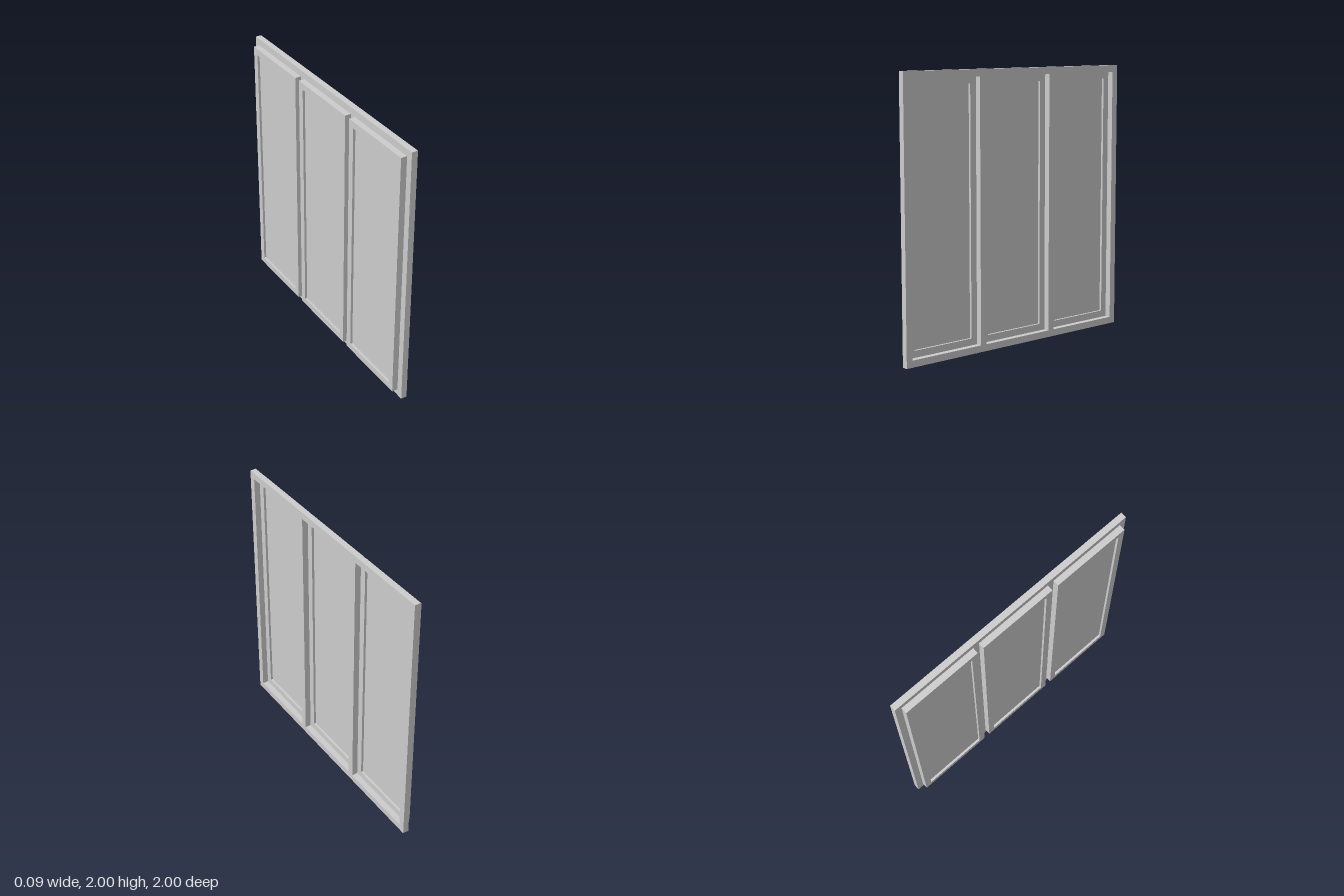
import * as THREE from 'three';

const DEPTH = 0.045; // thickness of the frame and of each sash
const RAIL = 0.05; // visible width of every rail
const material = new THREE.MeshStandardMaterial({ color: 0xcccccc, flatShading: true });

// Rectangle outline in the window plane: u runs along z, v is up
function trace(path, u0, u1, v0, v1) {
  path.moveTo(u0, v0);
  path.lineTo(u1, v0);
  path.lineTo(u1, v1);
  path.lineTo(u0, v1);
  path.closePath();
  return path;
}

// Rectangular plate with rectangular holes, turned so its thickness runs along +x from x0
function plate(name, rect, holes, x0, depth) {
  const shape = trace(new THREE.Shape(), ...rect);
  for (const h of holes) shape.holes.push(trace(new THREE.Path(), ...h));
  const geometry = new THREE.ExtrudeGeometry(shape, { depth, bevelEnabled: false });
  geometry.rotateY(Math.PI / 2);
  const mesh = new THREE.Mesh(geometry, material);
  mesh.name = name;
  mesh.position.x = x0;
  return mesh;
}

const inset = ([u0, u1, v0, v1], d) => [u0 + d, u1 - d, v0 + d, v1 - d];

export function createModel() {
  const model = new THREE.Group();
  model.name = 'threePanelWindow';

  // Three equal openings separated by mullions
  const openings = [-0.65, 0, 0.65].map((c) => [c - 0.3, c + 0.3, RAIL, 2 - RAIL]);

  // Outer frame with mullions
  model.add(plate('outerFrame', [-1, 1, 0, 2], openings, 0, DEPTH));

  // Each sash sits behind its opening and holds a thin pane
  openings.forEach((opening, i) => {
    const sash = new THREE.Group();
    sash.name = `sash${i + 1}`;
    const paneRect = inset(opening, RAIL);
    sash.add(plate('sashFrame', opening, [paneRect], -DEPTH, DEPTH));
    sash.add(plate('pane', paneRect, [], -DEPTH / 2 - 0.005, 0.01));
    model.add(sash);
  });

  return model;
}
